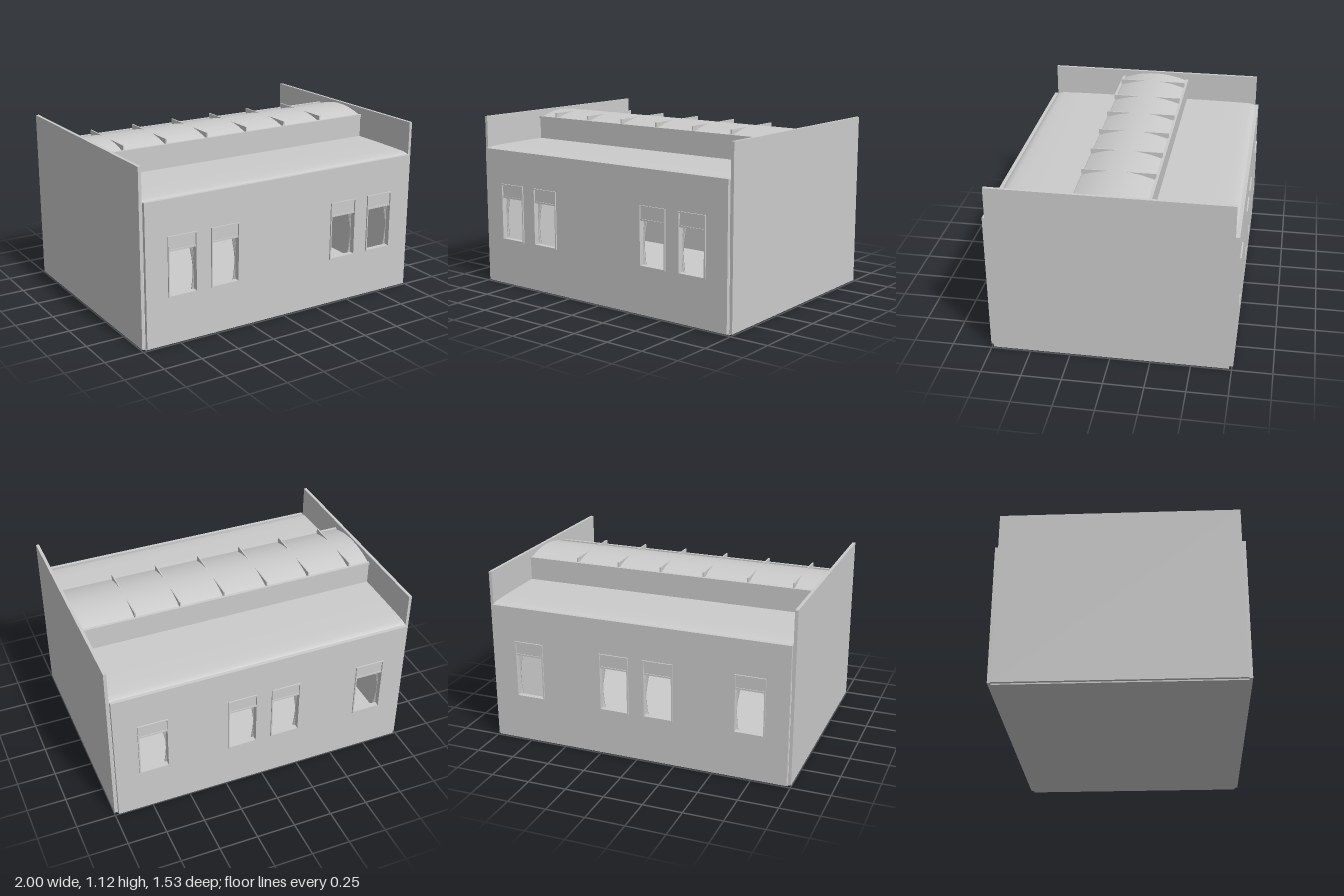
import * as THREE from 'three';
import { toCreasedNormals } from 'three/addons/utils/BufferGeometryUtils.js';

const mat = new THREE.MeshStandardMaterial({ color: 0xcccccc });
const sheetMat = new THREE.MeshStandardMaterial({ color: 0xcccccc, side: THREE.DoubleSide });

const LEN = 1.96;          // inner length between the end walls
const WALL_IN = 0.735, WALL_OUT = 0.758;
const WIN = { half: 0.098, y0: 0.312, y1: 0.69, shadeY: 0.6 };

function add(parent, name, geo, material = mat) {
  const mesh = new THREE.Mesh(geo, material);
  mesh.name = name;
  parent.add(mesh);
  return mesh;
}

function box(parent, name, x0, x1, y0, y1, z0, z1) {
  const mesh = add(parent, name, new THREE.BoxGeometry(x1 - x0, y1 - y0, z1 - z0));
  mesh.position.set((x0 + x1) / 2, (y0 + y1) / 2, (z0 + z1) / 2);
  return mesh;
}

function rect(Type, x0, x1, y0, y1) {
  const r = new Type();
  r.moveTo(x0, y0);
  r.lineTo(x1, y0);
  r.lineTo(x1, y1);
  r.lineTo(x0, y1);
  r.closePath();
  return r;
}

// Runs a (z, y) outline along the length of the body
function alongX(points, length) {
  const shape = new THREE.Shape(points.map(([z, y]) => new THREE.Vector2(z, y)));
  const geo = new THREE.ExtrudeGeometry(shape, { depth: length, bevelEnabled: false });
  geo.rotateY(-Math.PI / 2).translate(length / 2, 0, 0);
  return toCreasedNormals(geo, 0.5);
}

// Pleated curtain gathered at its middle; side is -1 or 1
function curtain(side) {
  const geo = new THREE.PlaneGeometry(1, 1, 16, 16);
  const p = geo.attributes.position;
  const profile = new THREE.SplineCurve([
    [0.03, 0.31], [0.022, 0.36], [0.016, 0.43], [0.022, 0.5], [0.042, 0.6], [0.06, 0.67],
  ].map(([w, y]) => new THREE.Vector2(w, y)));
  for (let i = 0; i < p.count; i++) {
    const u = p.getX(i) + 0.5;
    const c = profile.getPoint(p.getY(i) + 0.5);
    p.setXYZ(i, side * (0.107 - u * c.x), c.y, 0.722 + 0.007 * Math.sin(u * Math.PI * 8));
  }
  geo.computeVertexNormals();
  return geo;
}

function windowUnit(x) {
  const g = new THREE.Group();
  g.name = 'window';
  const { half, y0, y1, shadeY } = WIN;
  const t = 0.008;
  const frame = rect(THREE.Shape, -half, half, y0, y1);
  frame.holes.push(rect(THREE.Path, -half + t, half - t, y0 + t, y1 - t));
  const geo = new THREE.ExtrudeGeometry(frame, { depth: 0.035, bevelEnabled: false });
  add(g, 'windowFrame', geo.translate(0, 0, 0.732));
  box(g, 'windowShade', -half + t, half - t, shadeY, y1 - t, 0.742, 0.757);
  box(g, 'shadeBar', -half + t, half - t, shadeY - 0.004, shadeY + 0.006, 0.74, 0.762);
  for (const s of [-1, 1]) add(g, 'curtain', curtain(s), sheetMat);
  g.position.x = x;
  return g;
}

function sideWall(name, windows) {
  const g = new THREE.Group();
  g.name = name;
  const wall = rect(THREE.Shape, -0.978, 0.978, 0.012, 0.915);
  for (const x of windows) {
    wall.holes.push(rect(THREE.Path, x - WIN.half + 0.002, x + WIN.half - 0.002, WIN.y0 + 0.002, WIN.y1 - 0.002));
    g.add(windowUnit(x));
  }
  const geo = new THREE.ExtrudeGeometry(wall, { depth: WALL_OUT - WALL_IN, bevelEnabled: false });
  add(g, 'wallPanel', geo.translate(0, 0, WALL_IN));
  return g;
}

export function createModel() {
  const root = new THREE.Group();
  root.name = 'carriageBody';

  // Floor and tall end walls
  box(root, 'floor', -0.98, 0.98, 0, 0.018, -WALL_IN, WALL_IN);
  for (const s of [-1, 1]) {
    const end = box(root, 'endWall', -0.01, 0.01, 0.008, 1.125, -WALL_IN, WALL_IN);
    end.position.x = s * 0.99;
  }

  // Side walls with their own window spacing
  root.add(sideWall('frontWall', [-0.735, -0.442, 0.438, 0.73]));
  const back = sideWall('backWall', [-0.73, -0.145, 0.148, 0.735]);
  back.rotation.y = Math.PI;
  root.add(back);

  // Lower roof, clerestory wall and eave, mirrored front to back
  for (const s of [1, -1]) {
    const half = new THREE.Group();
    half.name = s > 0 ? 'frontRoof' : 'backRoof';
    add(half, 'lowerRoof', alongX([
      [0.225, 0.912], [0.735, 0.89], [0.735, 0.907], [0.722, 0.915],
      [0.69, 0.921], [0.6, 0.924], [0.4, 0.926], [0.225, 0.926],
    ], LEN));
    box(half, 'clerestoryWall', -LEN / 2, LEN / 2, 0.912, 1.066, 0.222, 0.233);
    box(half, 'eave', -LEN / 2, LEN / 2, 1.063, 1.08, 0.222, 0.241);
    if (s < 0) half.rotation.y = Math.PI;
    root.add(half);
  }

  // Shallow vault over the clerestory
  const vault = [];
  const N = 24;
  const arch = (z) => 1.07 + 0.042 * (1 - (z / 0.225) ** 2);
  for (let i = 0; i <= N; i++) {
    const z = 0.225 - 0.45 * i / N;
    vault.push([z, arch(z)]);
  }
  for (let i = N; i >= 0; i--) {
    const z = 0.225 - 0.45 * i / N;
    vault.push([z, arch(z) - 0.01]);
  }
  add(root, 'vault', alongX(vault, LEN));

  // Flat-topped ribs across the vault
  for (let i = 0; i < 6; i++) {
    const x = -0.833 + i * 0.2935;
    const rib = add(root, 'roofRib', alongX([
      [0.228, 1.066], [0.228, 1.11], [-0.228, 1.11], [-0.228, 1.066],
      [-0.12, 1.09], [0, 1.1], [0.12, 1.09],
    ], 0.009));
    rib.position.x = x;
  }

  return root;
}
